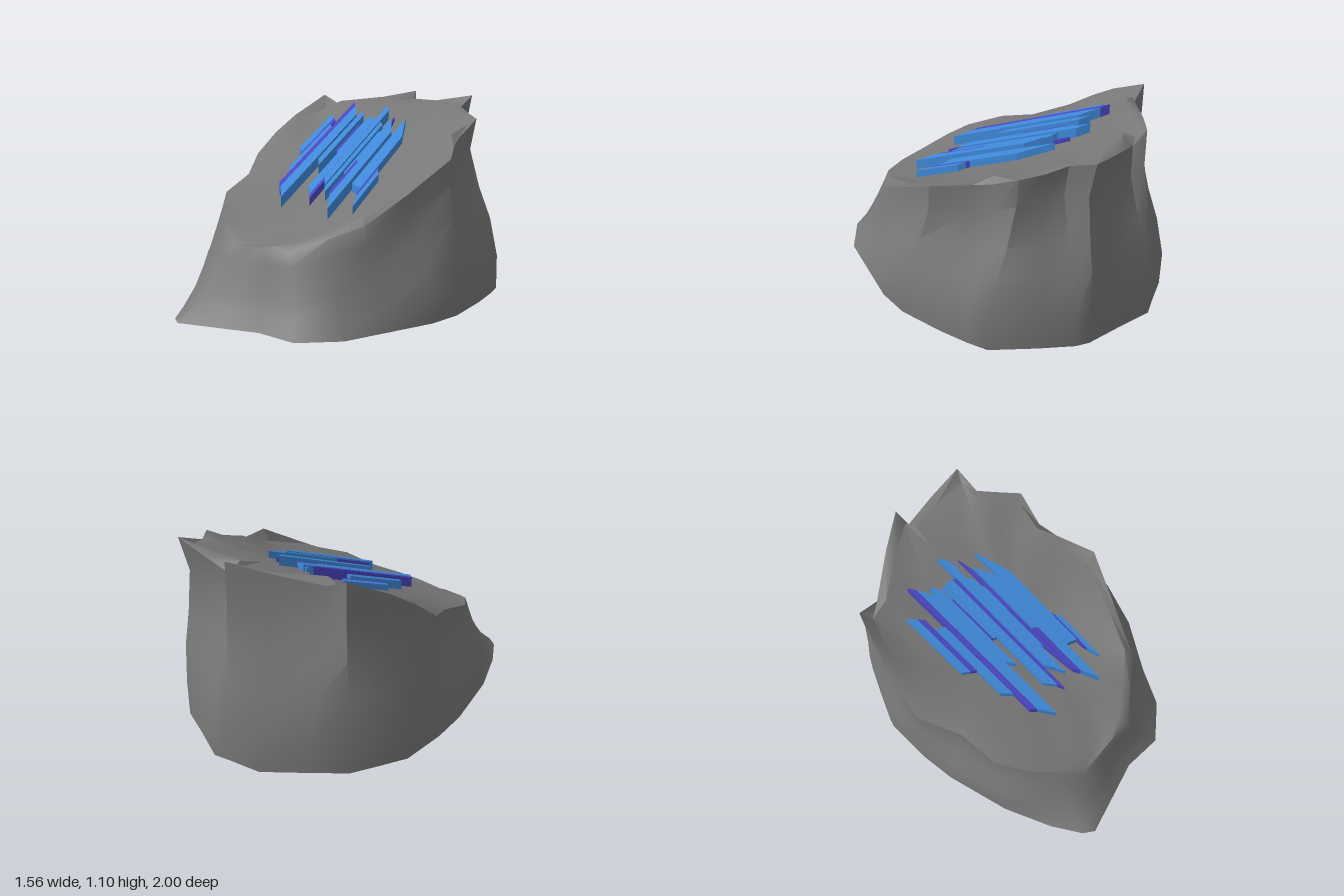
import * as THREE from 'three';
import { toCreasedNormals } from 'three/addons/utils/BufferGeometryUtils.js';

const SLOPE = 0.45;
const { lerp, smoothstep } = THREE.MathUtils;

const rockGrey = new THREE.MeshStandardMaterial({ color: 0x787878, side: THREE.DoubleSide });
rockGrey.name = 'rockGrey';
const crystalBlue = new THREE.MeshStandardMaterial({ color: 0x3f8adb });
crystalBlue.name = 'crystalBlue';
const crystalViolet = new THREE.MeshStandardMaterial({ color: 0x4a46c2 });
crystalViolet.name = 'crystalViolet';

// Rock columns, counterclockwise from above: foot x, z, then rim x, y, z
const columns = [
  [0, 0.91, -0.04, 0.40, 0.755],
  [0.23, 0.94, 0.09, 0.39, 0.76],
  [0.43, 0.80, 0.25, 0.455, 0.65],
  [0.55, 0.60, 0.40, 0.52, 0.54],
  [0.70, 0.35, 0.52, 0.65, 0.30],
  [0.76, 0.17, 0.645, 0.81, 0.03],
  [0.78, -0.10, 0.57, 0.85, -0.19],
  [0.78, -0.28, 0.55, 0.88, -0.30],
  [0.77, -0.40, 0.59, 0.98, -0.47],
  [0.62, -0.62, 0.50, 1.00, -0.57],
  [0.50, -0.78, 0.42, 1.03, -0.65],
  [0.44, -0.83, 0.43, 1.09, -0.80],
  [0.25, -0.91, 0.22, 1.045, -0.81],
  [0.05, -1.00, 0.03, 1.00, -0.81],
  [-0.05, -0.98, 0.01, 1.10, -0.87],
  [-0.23, -0.95, -0.18, 1.06, -0.77],
  [-0.45, -0.78, -0.42, 1.01, -0.62],
  [-0.60, -0.66, -0.54, 1.07, -0.62],
  [-0.69, -0.50, -0.63, 0.95, -0.40],
  [-0.76, -0.37, -0.68, 0.85, -0.25],
  [-0.78, -0.10, -0.715, 0.73, -0.10],
  [-0.77, 0.12, -0.62, 0.64, 0.13],
  [-0.70, 0.50, -0.61, 0.57, 0.36],
  [-0.60, 0.78, -0.50, 0.505, 0.55],
  [-0.51, 0.95, -0.40, 0.45, 0.65],
  [-0.45, 1.00, -0.28, 0.38, 0.75],
  [-0.20, 0.95, -0.15, 0.39, 0.755],
];

function rockGeometry() {
  const n = columns.length;
  const pos = [];
  const index = [];
  const capY = (z) => 0.725 - 0.46 * z;
  const rimY = (i) => columns[(i + n) % n][3];
  const ring = (fn) => columns.forEach((c, i) => pos.push(...fn(c, i)));

  // Wall rings: the front flares at the foot, the other sides step in near the rim,
  // and the back left corner is hollowed under its overhanging peaks
  const heights = [0, 0.2, 0.42, 0.6, 0.82, 1];
  for (const t of heights) {
    ring(([bx, bz, rx, ry, rz]) => {
      const s = bz > 0.55 ? Math.pow(t, 0.75) : smoothstep(t, 0.15, 0.9);
      const hollow = bx > 0.2 && bz < -0.35 && t < 1 ? 0.05 : 0;
      const k = 1 - hollow * smoothstep(t, 0.3, 0.82);
      return [lerp(bx, rx, s) * k, ry * t, lerp(bz, rz, s) * k];
    });
  }
  // Sloping top: a ring that evens out the jagged rim, a flat ring, then the centre
  ring(([, , rx, , rz], i) => {
    const y = (rimY(i - 2) + rimY(i - 1) + rimY(i) + rimY(i + 1) + rimY(i + 2)) / 5;
    return [rx * 0.93, y, rz * 0.93];
  });
  ring(([, , rx, , rz]) => [rx * 0.72, capY(rz * 0.72), rz * 0.72]);

  const bands = heights.length + 1;
  for (let r = 0; r < bands; r++) {
    for (let i = 0; i < n; i++) {
      const j = (i + 1) % n;
      const a = r * n + i, b = r * n + j, c = a + n, d = b + n;
      index.push(a, b, d, a, d, c);
    }
  }
  const top = pos.length / 3;
  pos.push(0, capY(0), 0, 0, 0, 0);
  for (let i = 0; i < n; i++) {
    const j = (i + 1) % n;
    index.push(bands * n + i, bands * n + j, top, j, i, top + 1);
  }
  const g = new THREE.BufferGeometry();
  g.setAttribute('position', new THREE.Float32BufferAttribute(pos, 3));
  g.setIndex(index);
  return toCreasedNormals(g, 0.75);
}

// Slanted bar lying on the slope; its ends are cut at an angle
function barGeometry(x0, x1, back0, back1, front0, front1) {
  const shape = new THREE.Shape([
    new THREE.Vector2(x0, -front0), new THREE.Vector2(x1, -front1),
    new THREE.Vector2(x1, -back1), new THREE.Vector2(x0, -back0),
  ]);
  const g = new THREE.ExtrudeGeometry(shape, { depth: 0.06, bevelEnabled: false });
  g.rotateX(-Math.PI / 2);
  const p = g.attributes.position;
  for (let i = 0; i < p.count; i++) p.setY(i, p.getY(i) - SLOPE * p.getZ(i));
  g.computeVertexNormals();
  return g;
}

// Bars: x left, x right, back z at each side, front z at each side, top height at z = 0
const blueBars = [
  [-0.385, -0.343, -0.45, -0.41, -0.07, -0.04, 0.76],
  [-0.315, -0.267, -0.31, -0.28, 0.15, 0.20, 0.775],
  [-0.238, -0.175, -0.50, -0.40, 0.35, 0.44, 0.795],
  [-0.175, -0.137, -0.47, -0.42, 0.05, 0.11, 0.78],
  [-0.120, -0.100, -0.43, -0.42, -0.07, -0.06, 0.755],
  [-0.100, -0.050, -0.43, -0.42, 0.28, 0.34, 0.765],
  [-0.030, 0.010, -0.54, -0.48, 0.22, 0.28, 0.785],
  [0.010, 0.038, -0.37, -0.34, 0.28, 0.33, 0.775],
  [0.038, 0.055, -0.30, -0.28, 0.12, 0.15, 0.76],
  [0.077, 0.100, -0.38, -0.34, 0.05, 0.07, 0.79],
  [0.100, 0.150, -0.34, -0.24, 0.39, 0.49, 0.795],
  [0.150, 0.220, -0.43, -0.24, 0.23, 0.26, 0.77],
  [0.230, 0.255, 0.08, 0.12, 0.33, 0.41, 0.765],
];
const violetBars = [
  [-0.343, -0.315, -0.41, -0.38, -0.04, -0.02, 0.76],
  [-0.267, -0.238, -0.54, -0.50, 0.32, 0.35, 0.795],
  [-0.137, -0.120, -0.36, -0.35, -0.08, -0.07, 0.755],
  [-0.050, -0.030, -0.42, -0.41, 0.34, 0.38, 0.765],
  [0.055, 0.077, -0.47, -0.38, 0.15, 0.34, 0.755],
  [0.077, 0.100, 0.05, 0.07, 0.35, 0.39, 0.79],
  [0.220, 0.230, 0.06, 0.08, 0.29, 0.33, 0.765],
];

function barGroup(name, bars, material) {
  const group = new THREE.Group();
  group.name = name;
  for (const [x0, x1, b0, b1, f0, f1, height] of bars) {
    const bar = new THREE.Mesh(barGeometry(x0, x1, b0, b1, f0, f1), material);
    bar.name = 'crystalBar';
    bar.position.y = height - 0.06;
    group.add(bar);
  }
  return group;
}

export function createModel() {
  const model = new THREE.Group();
  model.name = 'crystalRock';

  const rock = new THREE.Mesh(rockGeometry(), rockGrey);
  rock.name = 'rock';
  model.add(rock);
  model.add(barGroup('blueCrystalBars', blueBars, crystalBlue));
  model.add(barGroup('violetCrystalBars', violetBars, crystalViolet));
  return model;
}
